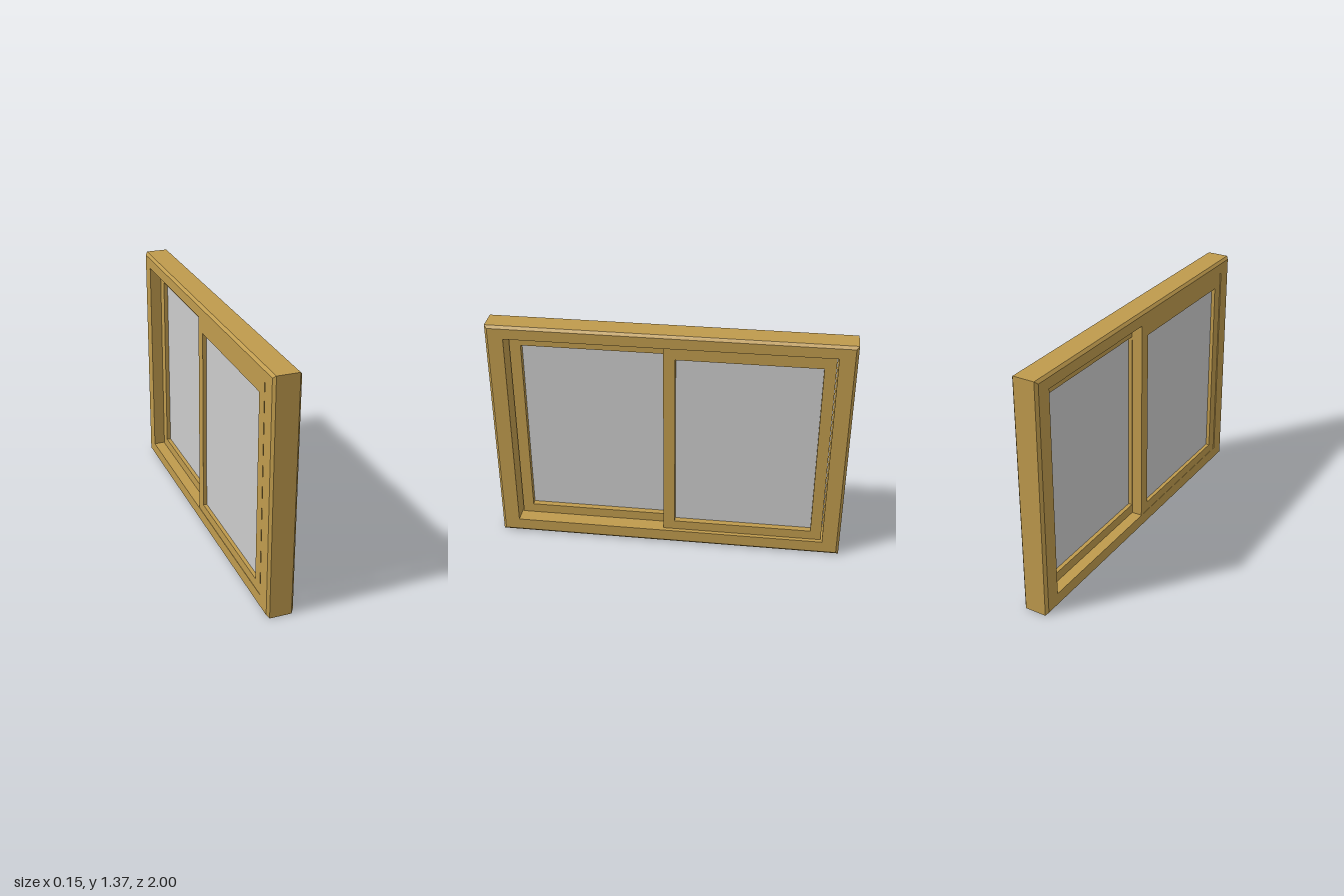
import * as THREE from 'three';

const wood = new THREE.MeshStandardMaterial({ color: 0xbf9b4d, flatShading: true });
const glass = new THREE.MeshStandardMaterial({ color: 0xcccccc });

// Rectangular ring: each loop is a rectangle [x, z0, z1, y0, y1];
// loops run along the outside from +x to -x, then back along the inside.
function ring(name, loops) {
  const corners = loops.map(([x, z0, z1, y0, y1]) => [
    [x, y0, z0], [x, y0, z1], [x, y1, z1], [x, y1, z0],
  ]);
  const pos = [];
  corners.forEach((loop, i) => {
    const next = corners[(i + 1) % corners.length];
    for (let k = 0; k < 4; k++) {
      const n = (k + 1) % 4;
      const [a, b, c, d] = [loop[k], loop[n], next[n], next[k]];
      pos.push(...a, ...b, ...c, ...a, ...c, ...d);
    }
  });
  const geo = new THREE.BufferGeometry();
  geo.setAttribute('position', new THREE.Float32BufferAttribute(pos, 3));
  geo.computeVertexNormals();
  const mesh = new THREE.Mesh(geo, wood);
  mesh.name = name;
  return mesh;
}

// Sliding sash: wooden ring with a thin pane set into it
function sash(name, xFront, xBack, outer, inner) {
  const group = new THREE.Group();
  group.name = name;
  group.add(ring(name + 'Frame', [
    [xFront, ...outer], [xBack, ...outer], [xBack, ...inner], [xFront, ...inner],
  ]));
  const [z0, z1, y0, y1] = inner;
  const pane = new THREE.Mesh(new THREE.BoxGeometry(0.006, y1 - y0, z1 - z0), glass);
  pane.name = name + 'Pane';
  pane.position.set(xFront - 0.037, (y0 + y1) / 2, (z0 + z1) / 2);
  group.add(pane);
  return group;
}

export function createModel() {
  const model = new THREE.Group();
  model.name = 'slidingWindow';

  // Outer frame with chamfered outside edges
  const H = 1.365, X = 0.075, c = 0.0135, e = 0.015;
  const full = [-1, 1, 0, H];
  const inset = [-1 + e, 1 - e, e, H - e];
  const opening = [-0.9, 0.9, 0.083, 1.29];
  model.add(ring('outerFrame', [
    [X, ...inset], [X - c, ...full], [-X + c, ...full], [-X, ...inset],
    [-X, ...opening], [X, ...opening],
  ]));

  // Two sashes on neighbouring tracks, overlapping at the middle
  model.add(sash('frontSash', -0.012, -0.073,
    [-0.031, 0.892, 0.083, 1.29], [0.034, 0.829, 0.139, 1.213]));
  model.add(sash('rearSash', 0.051, -0.012,
    [-0.892, 0.031, 0.083, 1.29], [-0.829, -0.034, 0.139, 1.213]));

  return model;
}
